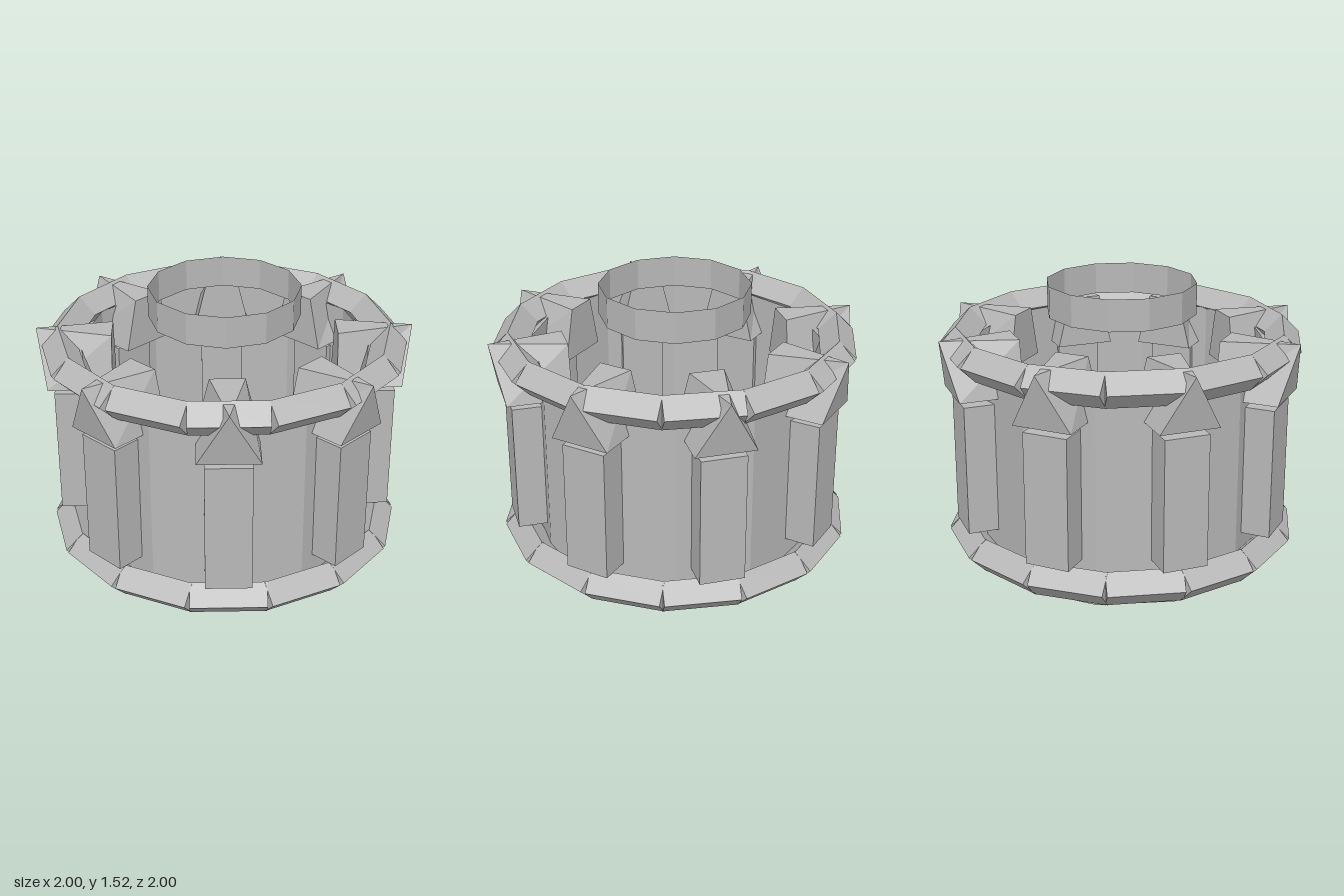
import * as THREE from 'three';

export function createModel() {
  const model = new THREE.Group();
  model.name = 'spikedRingTower';
  const stone = new THREE.MeshStandardMaterial({ color: 0xb8b8b8, flatShading: true });
  stone.name = 'stoneGrey';
  stone.side = THREE.DoubleSide;

  function add(parent, name, geometry, y = 0) {
    const mesh = new THREE.Mesh(geometry, stone);
    mesh.name = name;
    mesh.position.y = y;
    parent.add(mesh);
    return mesh;
  }

  // Places copies of a geometry, already at its radius on +z, around the axis
  function around(groupName, partName, geometry, count, y = 0) {
    const group = new THREE.Group();
    group.name = groupName;
    for (let i = 0; i < count; i++) {
      add(group, partName, geometry, y).rotation.y = (i / count) * Math.PI * 2;
    }
    model.add(group);
  }

  // Open twelve-sided wall and the small hoop floating above it
  add(model, 'wall', new THREE.CylinderGeometry(0.78, 0.78, 1.205, 12, 1, true), 0.6025);
  add(model, 'floatingHoop', new THREE.CylinderGeometry(0.403, 0.403, 0.17, 12, 1, true), 1.435);

  // Rims of fourteen straight bars with a diamond section
  function rimBar(radius) {
    return new THREE.CylinderGeometry(0.093, 0.093, 0.4, 4)
      .rotateZ(Math.PI / 2).translate(0, 0, radius);
  }
  around('lowerRim', 'lowerRimBar', rimBar(0.844), 14, 0.143);
  around('upperRim', 'upperRimBar', rimBar(0.861), 14, 1.206);

  // Upright buttresses passing through the wall
  const buttress = new THREE.BoxGeometry(0.24, 0.71, 0.19).translate(0, 0, 0.815);
  around('buttresses', 'buttress', buttress, 8, 0.6);

  // Spiked caps: a box whose top narrows to a point leaning outwards
  const cap = new THREE.BoxGeometry(0.32, 0.285, 0.345).translate(0, 1.1375, 0.7675);
  const p = cap.attributes.position;
  for (let i = 0; i < p.count; i++) {
    if (p.getY(i) < 1.1) continue;
    if (p.getZ(i) > 0.8) p.setXYZ(i, 0, 1.288, 0.998);
    else p.setX(i, Math.sign(p.getX(i)) * 0.09);
  }
  cap.computeVertexNormals();
  around('spikedCaps', 'spikedCap', cap, 8);

  return model;
}
